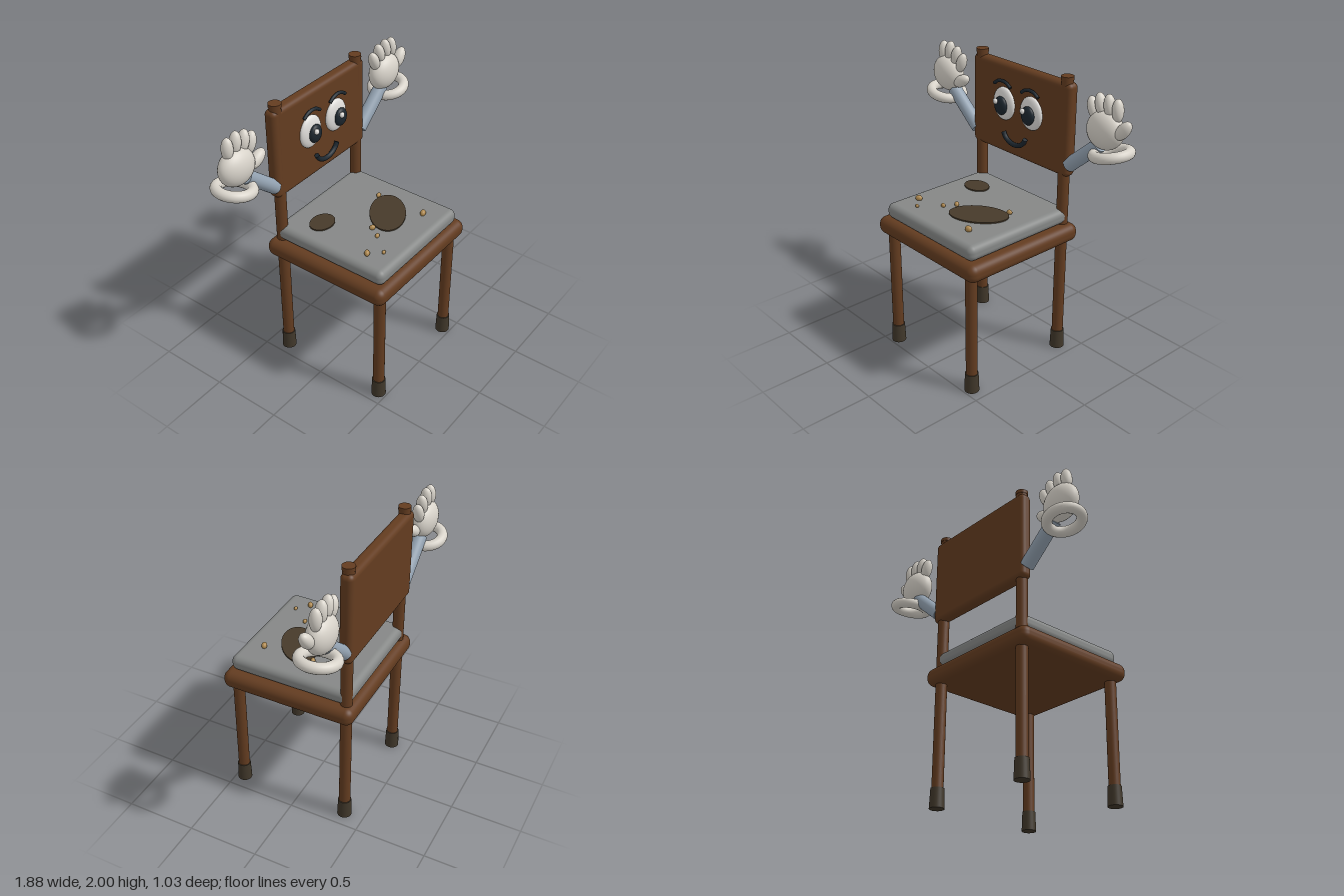
import * as THREE from 'three';
import { RoundedBoxGeometry } from 'three/addons/geometries/RoundedBoxGeometry.js';

const material = (name, color) => {
  const m = new THREE.MeshStandardMaterial({ color });
  m.name = name;
  return m;
};

export function createModel() {
  const model = new THREE.Group();
  model.name = 'chairCharacter';
  const wood = material('brown wood', 0x633c20);
  const rubber = material('dark rubber', 0x40372a);
  const fabric = material('grey fabric', 0x858786);
  const stain = material('brown stain', 0x473a2a);
  const crumbTan = material('crumb tan', 0xb08a50);
  const sleeve = material('blue grey sleeve', 0x94a3b2);
  const glove = material('glove white', 0xd8d3ca);
  const eyeWhite = material('eye white', 0xe0dedb);
  const ink = material('dark ink', 0x1c262e);

  const add = (name, geometry, mat, x = 0, y = 0, z = 0, parent = model) => {
    const mesh = new THREE.Mesh(geometry, mat);
    mesh.name = name;
    mesh.position.set(x, y, z);
    parent.add(mesh);
    return mesh;
  };
  const ellipsoid = (name, mat, [x, y, z], [rx, ry, rz], parent) => {
    const mesh = add(name, new THREE.SphereGeometry(1, 32, 20), mat, x, y, z, parent);
    mesh.scale.set(rx, ry, rz);
    return mesh;
  };
  const rounded = (name, mat, size, radius, pos) =>
    add(name, new RoundedBoxGeometry(...size, 5, radius), mat, ...pos);
  const post = (name, mat, x, z, y0, y1, rTop, rBottom) =>
    add(name, new THREE.CylinderGeometry(rTop, rBottom, y1 - y0, 28), mat, x, (y0 + y1) / 2, z);

  const CX = -0.01; // the chair sits slightly off the centre of the whole figure
  const BACK = -0.36;

  // Legs, rear posts and rubber feet
  for (const side of [-1, 1]) {
    const x = CX + side * 0.4;
    post('frontLeg', wood, x, 0.44, 0.05, 0.9, 0.039, 0.039);
    post('rearPost', wood, x, BACK, 0.05, 1.98, 0.039, 0.039);
    post('postCap', wood, x, BACK, 1.975, 2, 0.042, 0.042);
    for (const z of [0.44, BACK]) post('foot', rubber, x, z, 0, 0.135, 0.045, 0.05);
  }

  // Seat frame, cushion and backrest
  rounded('seatFrame', wood, [0.99, 0.125, 0.95], 0.055, [CX, 0.917, 0.04]);
  rounded('cushion', fabric, [0.874, 0.108, 0.87], 0.045, [CX, 1.032, 0.04]);
  rounded('backrest', wood, [0.915, 0.635, 0.09], 0.035, [CX, 1.643, -0.367]);

  // Stains on the cushion
  for (const [x, z, rx, rz, turn] of [[-0.24, -0.157, 0.097, 0.077, 0], [0.105, 0.127, 0.2, 0.122, 0.61]]) {
    const disc = add('stain', new THREE.CylinderGeometry(1, 1, 0.009, 48), stain, x, 1.0905, z);
    disc.scale.set(rx, 1, rz);
    disc.rotation.y = turn;
  }

  // Crumbs: x, z, size, turn
  const crumbs = [
    [0.225, -0.035, 0.02, 0.2], [-0.095, 0.147, 0.021, -0.6], [-0.145, 0.223, 0.018, 0],
    [-0.333, 0.28, 0.024, 0.6], [-0.256, 0.355, 0.015, 0], [0.232, 0.325, 0.025, 0.3],
  ];
  for (const [x, z, s, turn] of crumbs) {
    ellipsoid('crumb', crumbTan, [x, 1.083 + s * 0.75, z], [s, s * 0.85, s * 0.75]).rotation.y = turn;
  }

  // Curved bars for the brows and mouth, with closed ends
  const bar = (name, points, radius) => {
    const curve = new THREE.CatmullRomCurve3(points.map((p) => new THREE.Vector3(...p)));
    add(name, new THREE.TubeGeometry(curve, 32, radius, 12), ink);
    for (const t of [0, 1]) {
      const cap = add(name + 'End', new THREE.CircleGeometry(radius, 16), ink);
      cap.position.copy(curve.getPoint(t));
      const out = curve.getTangent(t).multiplyScalar(t ? 1 : -1);
      cap.quaternion.setFromUnitVectors(new THREE.Vector3(0, 0, 1), out);
    }
  };

  // Eyes and brows
  for (const side of [-1, 1]) {
    const x = CX + side * 0.13;
    ellipsoid('eye', eyeWhite, [x, 1.685, -0.315], [0.099, 0.115, 0.035]);
    ellipsoid('pupil', ink, [x + 0.006, 1.68, -0.278], [0.055, 0.064, 0.03]);
    ellipsoid('eyeGlint', eyeWhite, [x - 0.016, 1.713, -0.248], [0.018, 0.02, 0.015]);
    bar('eyebrow', [
      [x - 0.078, 1.815, -0.296], [x - 0.042, 1.839, -0.296], [x, 1.847, -0.296],
      [x + 0.042, 1.839, -0.296], [x + 0.078, 1.815, -0.296],
    ], 0.0115);
  }

  // Smile
  const smile = [];
  for (let i = 0; i <= 8; i++) {
    const a = Math.PI * (1.08 + (0.84 * i) / 8);
    smile.push([CX + 0.108 * Math.cos(a), 1.522 + 0.09 * Math.sin(a), -0.289]);
  }
  bar('mouth', smile, 0.0165);

  // Arms: straight sleeves rising from the rear posts
  for (const side of [-1, 1]) {
    const from = new THREE.Vector3(CX + side * 0.446, 1.412, BACK);
    const to = new THREE.Vector3(CX + side * 0.70, 1.632, BACK);
    const dir = to.clone().sub(from);
    const arm = add('arm', new THREE.CylinderGeometry(0.048, 0.048, dir.length(), 28), sleeve);
    arm.position.copy(from).add(to).multiplyScalar(0.5);
    arm.quaternion.setFromUnitVectors(new THREE.Vector3(0, 1, 0), dir.normalize());
  }

  // Gloved hands: the same hand leaned inward on each side
  const fingers = [[-0.085, 0.135, 0.14], [-0.02, 0.16, 0.05], [0.05, 0.153, -0.05], [0.113, 0.127, -0.14]];
  for (const [name, x, lean, cuffX] of [['rightHand', -0.775, -0.2, 0], ['leftHand', 0.722, 0.2, 0.028]]) {
    const hand = new THREE.Group();
    hand.name = name;
    hand.position.set(x, 1.735, BACK);
    hand.rotation.z = lean;
    model.add(hand);
    ellipsoid('palm', glove, [0, 0, 0], [0.138, 0.125, 0.085], hand);
    for (const [fx, fy, fan] of fingers) {
      ellipsoid('finger', glove, [fx, fy, -0.005], [0.036, 0.075, 0.039], hand).rotation.z = fan;
    }
    ellipsoid('thumb', glove, [0.16, 0.012, 0.015], [0.041, 0.078, 0.041], hand).rotation.z = -0.84;
    const cuff = add('cuff', new THREE.TorusGeometry(0.112, 0.036, 18, 48), glove, cuffX, -0.148, -0.005, hand);
    cuff.rotation.x = Math.PI / 2;
  }

  return model;
}
